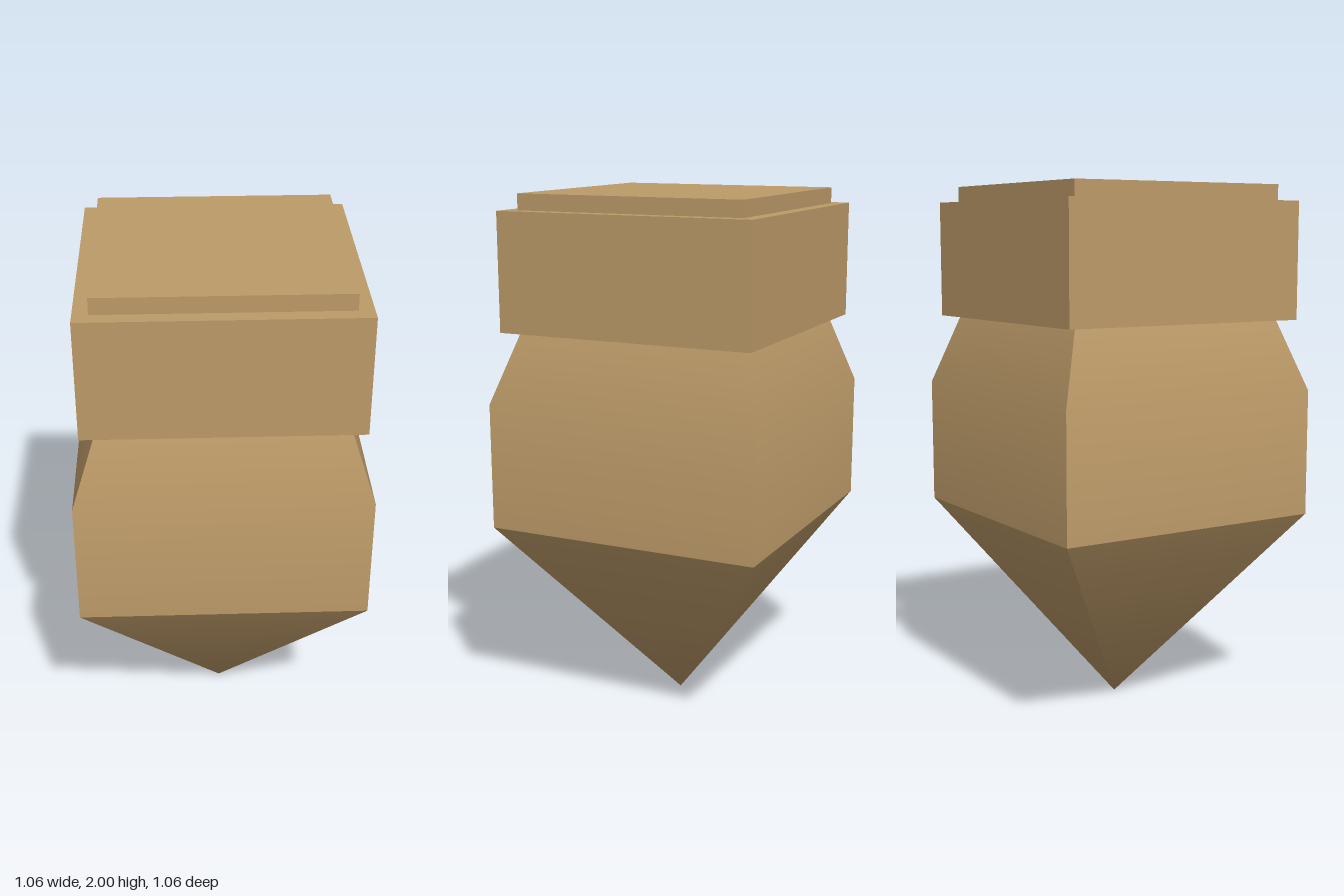
import * as THREE from 'three';
import { mergeGeometries } from 'three/addons/utils/BufferGeometryUtils.js';

// Square loft: one side panel from rows [half width, y, normal y, normal z] (bottom to top), turned to four sides
function squareLoft(rows) {
  const positions = [], normals = [], index = [];
  rows.forEach(([half, y, ny, nz], i) => {
    const n = new THREE.Vector3(0, ny, nz).normalize();
    for (const side of [-1, 1]) {
      positions.push(side * half, y, half);
      normals.push(n.x, n.y, n.z);
    }
    if (i === rows.length - 1) return;
    const a = i * 2, b = a + 1, c = a + 2, d = a + 3;
    if (half > 0) index.push(a, b, d);
    index.push(a, d, c);
  });
  const panel = new THREE.BufferGeometry();
  panel.setAttribute('position', new THREE.Float32BufferAttribute(positions, 3));
  panel.setAttribute('normal', new THREE.Float32BufferAttribute(normals, 3));
  panel.setIndex(index);
  return mergeGeometries([0, 1, 2, 3].map((k) => panel.clone().rotateY(k * Math.PI / 2)));
}

export function createModel() {
  const group = new THREE.Group();
  const wood = new THREE.MeshStandardMaterial({ color: 0xbc9a68 });
  wood.name = 'tan wood';

  function add(name, geometry) {
    const mesh = new THREE.Mesh(geometry, wood);
    mesh.name = name;
    group.add(mesh);
  }
  function slab(half, y0, y1) {
    return new THREE.BoxGeometry(half * 2, y1 - y0, half * 2).translate(0, (y0 + y1) / 2, 0);
  }

  // Pointed tip, softly shaded towards the apex
  add('pointedTip', squareLoft([[0, 0, -1, 0], [0.53, 0.76, -0.53, 0.76]]));

  // Square body with a tapered shoulder
  add('body', squareLoft([[0.53, 0.76, 0, 1], [0.53, 1.235, 0.16, 0.987], [0.44, 1.5, 0.316, 0.95]]));

  // Overhanging head block and thin cap
  add('headBlock', slab(0.495, 1.5, 1.94));
  add('cap', slab(0.44, 1.94, 2));

  return group;
}
